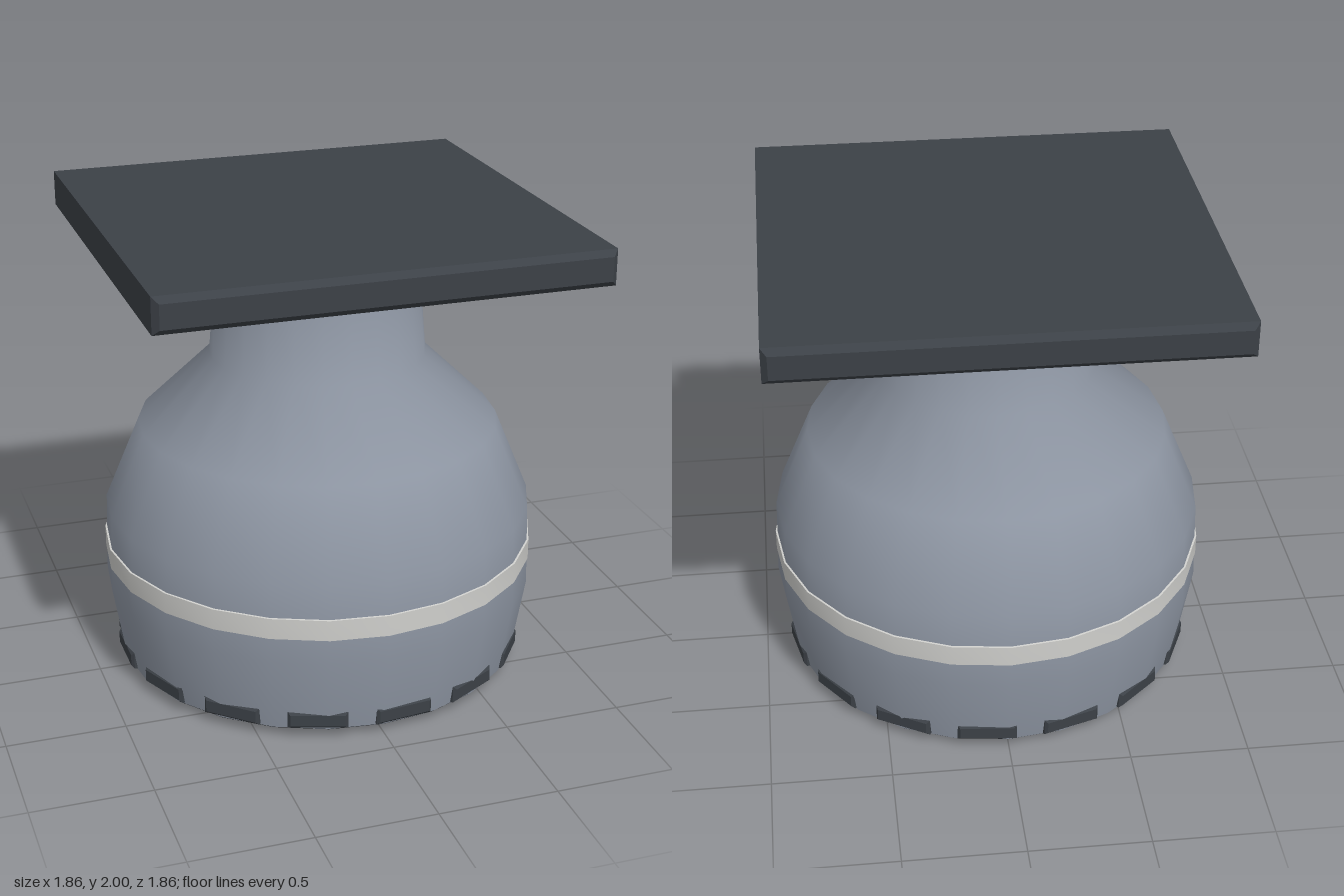
import * as THREE from 'three';
import { toCreasedNormals } from 'three/addons/utils/BufferGeometryUtils.js';

const SIDES = 24;

function material(name, color) {
  const m = new THREE.MeshStandardMaterial({ color });
  m.name = name;
  return m;
}

// Turned part from [radius, height] pairs
function lathe(profile, crease) {
  const geo = new THREE.LatheGeometry(profile.map(([r, y]) => new THREE.Vector2(r, y)), SIDES);
  return crease ? toCreasedNormals(geo, crease) : geo;
}

// Box with chamfered edges, centred on the origin
function chamferBox(w, h, d, c) {
  const x = w / 2, y = h / 2;
  const shape = new THREE.Shape([
    [-x + c, -y + c], [x - c, -y + c], [x - c, y - c], [-x + c, y - c],
  ].map(([a, b]) => new THREE.Vector2(a, b)));
  const geo = new THREE.ExtrudeGeometry(shape, {
    depth: d - 2 * c, bevelEnabled: true, bevelSegments: 1, bevelSize: c, bevelThickness: c,
  });
  return geo.translate(0, 0, -d / 2 + c);
}

export function createModel() {
  const model = new THREE.Group();
  model.name = 'model';
  const grey = material('blue grey', 0x8e96a3);
  const dark = material('charcoal', 0x3c4147);
  const light = material('light grey', 0xcfcfcc);

  const add = (name, geo, mat, x = 0, y = 0, z = 0, parent = model) => {
    const mesh = new THREE.Mesh(geo, mat);
    mesh.name = name;
    mesh.position.set(x, y, z);
    parent.add(mesh);
    return mesh;
  };

  // Mounting plate
  add('topPlate', chamferBox(1.85, 0.15, 1.85, 0.025), dark, 0, 1.925, 0);

  // Bell-shaped housing with tapered neck
  add('housing', lathe([
    [0.875, 0.04], [0.93, 0.37], [0.92, 0.72], [0.77, 1.08], [0.46, 1.38], [0.42, 1.86],
  ]), grey);

  // Trim band
  add('band', lathe([
    [0.9, 0.475], [0.932, 0.48], [0.932, 0.57], [0.9, 0.575],
  ], 0.6), light);

  // Bottom rim and the bowl inside it
  add('bottomRim', lathe([
    [0.75, 0.06], [0.75, 0], [0.765, 0], [0.87, 0.035], [0.875, 0.045],
  ], 0.3), dark);
  add('innerBowl', lathe([
    [0, 0.28], [0.55, 0.24], [0.72, 0.14], [0.752, 0.03],
  ]), light);

  // Tabs around the lower edge
  const tabs = new THREE.Group();
  tabs.name = 'tabs';
  model.add(tabs);
  const tabGeo = chamferBox(0.25, 0.075, 0.08, 0.012);
  for (let i = 0; i < 15; i++) {
    const a = THREE.MathUtils.degToRad(6 + 24 * i);
    const tab = add('tab', tabGeo, dark, 0.845 * Math.sin(a), 0.083, 0.845 * Math.cos(a), tabs);
    tab.rotation.y = a;
  }

  // Grille slats across the opening
  const grille = new THREE.Group();
  grille.name = 'grille';
  model.add(grille);
  for (let i = -2; i <= 2; i++) {
    const x = i * 0.28;
    const length = 2 * Math.sqrt(0.72 ** 2 - x * x);
    add('slat', chamferBox(0.17, 0.05, length, 0.015), dark, x, 0.055, 0, grille);
  }
  return model;
}
